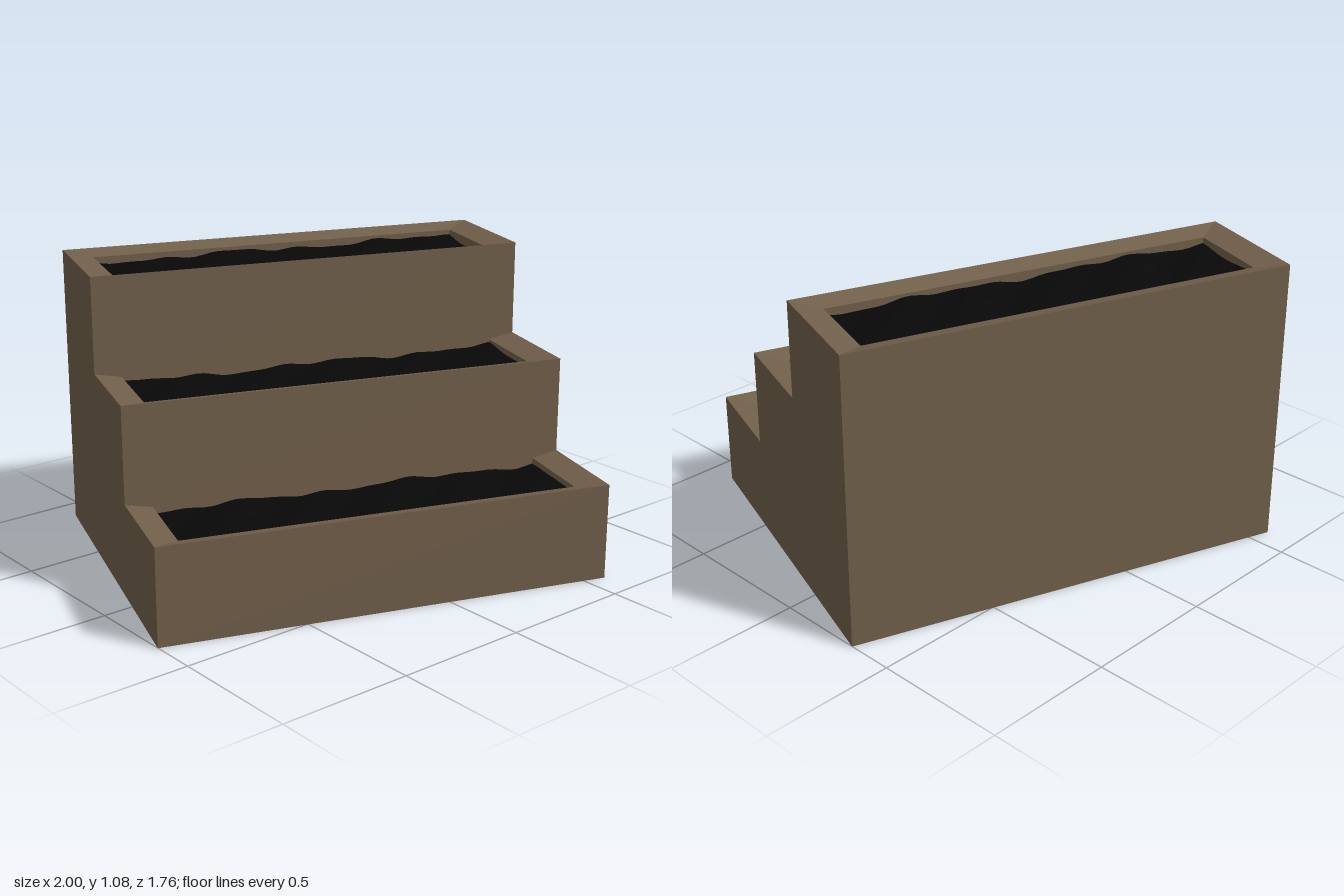
import * as THREE from 'three';

const W = 0.837;                          // half width
const STEP = 0.36;                        // rise of each tier
const EDGES = [0.64, 0.235, -0.167, -0.64]; // riser planes, front to back
const SIDE = 0.1, LIP = 0.076;            // rim widths
const DROP = 0.02, COLLAR = 0.06;         // rim slope and depth of its inner wall
const SOIL = 0.042;                       // soil level below each tier's edge

const timber = new THREE.MeshStandardMaterial({ color: 0x715f4a, side: THREE.DoubleSide });
timber.name = 'brown timber';
const earth = new THREE.MeshStandardMaterial({ color: 0x080808 });
earth.name = 'black soil';

// Mesh made of four-cornered faces, corners counter-clockwise from outside
function quads(name, faces) {
  const pos = [];
  for (const [a, b, c, d] of faces) pos.push(...a, ...b, ...c, ...a, ...c, ...d);
  const g = new THREE.BufferGeometry();
  g.setAttribute('position', new THREE.Float32BufferAttribute(pos, 3));
  g.computeVertexNormals();
  const m = new THREE.Mesh(g, timber);
  m.name = name;
  return m;
}

// Stepped side panel
function sidePanel(name, x, turn) {
  const s = new THREE.Shape();
  s.moveTo(-EDGES[3] * turn, 0);
  s.lineTo(-EDGES[0] * turn, 0);
  for (let i = 0; i < 3; i++) {
    s.lineTo(-EDGES[i] * turn, STEP * (i + 1));
    s.lineTo(-EDGES[i + 1] * turn, STEP * (i + 1));
  }
  const m = new THREE.Mesh(new THREE.ShapeGeometry(s), timber);
  m.rotation.y = turn * Math.PI / 2;
  m.position.x = x;
  m.name = name;
  return m;
}

// Gently uneven slab of soil
function soilBed(i, front, back, top) {
  const h = 0.04;
  const g = new THREE.BoxGeometry(2 * (W - SIDE) - 0.004, h, front - back - 0.004, 48, 1, 10);
  const p = g.attributes.position;
  for (let k = 0; k < p.count; k++) {
    if (p.getY(k) < 0) continue;
    const x = p.getX(k), z = p.getZ(k);
    const bump = 0.006 * Math.sin(x * 9 + i * 2 + z * 5) + 0.005 * Math.sin(x * 21 + z * 17 + i)
      + 0.003 * Math.cos(x * 37 - z * 23);
    p.setY(k, h / 2 + bump);
  }
  g.computeVertexNormals();
  const m = new THREE.Mesh(g, earth);
  m.position.set(0, top - h / 2, (front + back) / 2);
  m.name = 'soilBed' + (i + 1);
  return m;
}

export function createModel() {
  const model = new THREE.Group();
  model.name = 'tieredPlanter';
  const body = new THREE.Group();
  body.name = 'planterBody';
  body.rotation.y = -0.335;
  model.add(body);

  // Open-bottomed outer shell
  body.add(sidePanel('leftPanel', W, 1), sidePanel('rightPanel', -W, -1));
  const B = EDGES[3], H = STEP * 3;
  body.add(quads('backPanel', [[[W, 0, B], [-W, 0, B], [-W, H, B], [W, H, B]]]));

  for (let i = 0; i < 3; i++) {
    const y = STEP * (i + 1), f = EDGES[i], b = EDGES[i + 1];
    const last = i === 2;
    const low = i === 0 ? 0 : STEP * i - COLLAR;
    body.add(quads('riser' + (i + 1), [[[-W, low, f], [W, low, f], [W, y, f], [-W, y, f]]]));

    // Rim around the soil; the lower tiers end against the next riser
    const fi = f - LIP, bi = last ? b + LIP : b, xi = W - SIDE;
    const outer = [[-W, y, b], [-W, y, f], [W, y, f], [W, y, b]];
    const inner = [[-xi, bi], [-xi, fi], [xi, fi], [xi, bi]];
    const rim = [], collar = [];
    for (let k = 0; k < (last ? 4 : 3); k++) {
      const n = (k + 1) % 4;
      const at = (j, d) => [inner[j][0], y - d, inner[j][1]];
      rim.push([outer[k], outer[n], at(n, DROP), at(k, DROP)]);
      collar.push([at(k, DROP), at(n, DROP), at(n, COLLAR), at(k, COLLAR)]);
    }
    body.add(quads('rim' + (i + 1), rim), quads('rimInnerWall' + (i + 1), collar));
    body.add(soilBed(i, fi, bi, y - SOIL));
  }
  return model;
}
